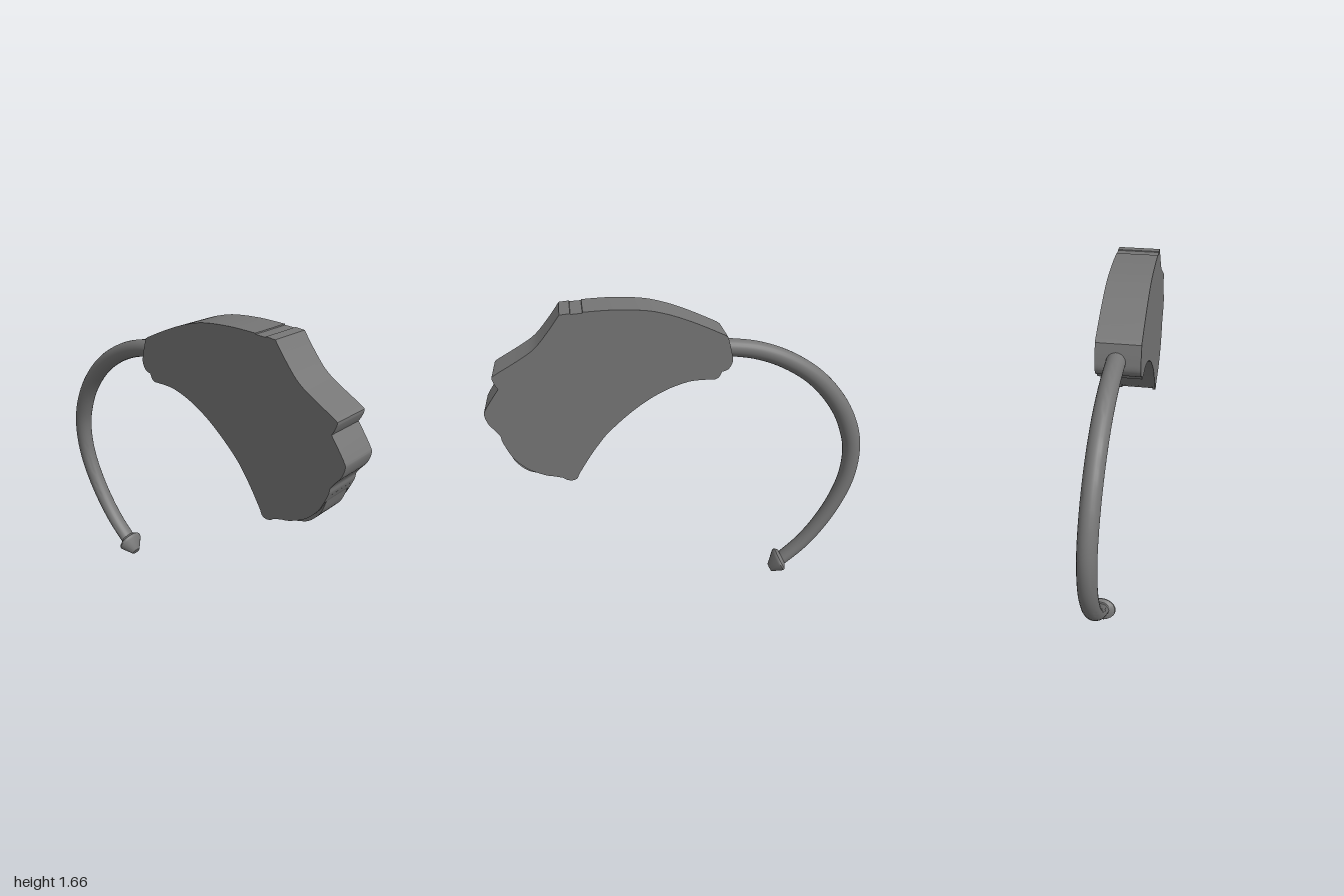
import * as THREE from 'three';
import { toCreasedNormals } from 'three/addons/utils/BufferGeometryUtils.js';

const grey = new THREE.MeshStandardMaterial({ color: 0x757575 });
const v2 = ([x, y]) => new THREE.Vector2(x, y);

// Shape from runs of points: each run is a smooth curve, runs meet at corners
function outline(start, runs) {
  const shape = new THREE.Shape().moveTo(...start);
  for (const run of runs) {
    if (run.length === 1) shape.lineTo(...run[0]);
    else shape.splineThru(run.map(v2));
  }
  return shape;
}

// Slab of a shape between two depths
function slab(name, shape, z0, z1) {
  const geo = new THREE.ExtrudeGeometry(shape, { depth: z1 - z0, bevelEnabled: false, curveSegments: 5 });
  const mesh = new THREE.Mesh(toCreasedNormals(geo.translate(0, 0, z0), 0.6), grey);
  mesh.name = name;
  return mesh;
}

// Elliptical loft: each section has centre c, in-plane half-width u (to the left of travel), depth radius rz
function loft(name, sections, sides, crease) {
  const pos = [], idx = [], last = sections.length - 1;
  for (const { c, u, rz } of sections) {
    for (let j = 0; j < sides; j++) {
      const a = (j / sides) * Math.PI * 2, s = Math.cos(a);
      pos.push(c[0] + u[0] * s, c[1] + u[1] * s, c[2] + rz * Math.sin(a));
    }
  }
  for (let i = 0; i < last; i++) {
    for (let j = 0; j < sides; j++) {
      const a = i * sides + j, b = i * sides + (j + 1) % sides;
      idx.push(a, b, a + sides, b, b + sides, a + sides);
    }
  }
  // End caps
  for (let j = 1; j < sides - 1; j++) {
    const e = last * sides;
    idx.push(0, j + 1, j, e, e + j, e + j + 1);
  }
  const geo = new THREE.BufferGeometry();
  geo.setAttribute('position', new THREE.Float32BufferAttribute(pos, 3));
  geo.setIndex(idx);
  const mesh = new THREE.Mesh(toCreasedNormals(geo, crease), grey);
  mesh.name = name;
  return mesh;
}

export function createModel() {
  const model = new THREE.Group();
  model.name = 'hearingAid';

  // Body outline, clockwise from the nose, with a shallow groove on the crown
  const nose = [-0.21, 1.497];
  const crown = [
    [[-0.195, 1.508]],
    [[-0.1, 1.553], [0, 1.596], [0.1, 1.63], [0.2, 1.651], [0.35, 1.66], [0.49, 1.656]],
    [[0.492, 1.651]], [[0.548, 1.648]], [[0.55, 1.652]], [[0.6, 1.647]],
  ];
  const rear = [
    [[0.66, 1.567], [0.73, 1.488], [0.81, 1.434], [0.925, 1.368], [0.941, 1.35], [0.932, 1.32], [0.918, 1.293]],
    [[0.96, 1.235], [0.99, 1.19], [1.0, 1.163], [0.985, 1.112], [0.955, 1.072], [0.935, 1.042], [0.93, 1.012], [0.91, 0.962]],
  ];
  const belly = [
    [[0.5, 0.892], [0.45, 0.961], [0.4, 1.021], [0.3, 1.111], [0.2, 1.184], [0.1, 1.238], [0, 1.272], [-0.06, 1.28], [-0.15, 1.28]],
    [[-0.168, 1.291], [-0.182, 1.318]],
    [[-0.215, 1.331], [-0.236, 1.371], [-0.228, 1.427], nose],
  ];
  const plateFoot = [
    [[0.88, 0.906], [0.82, 0.846], [0.74, 0.804], [0.69, 0.791]],
    [[0.645, 0.778]],
    [[0.625, 0.764], [0.6, 0.759], [0.575, 0.768], [0.562, 0.794]],
  ];
  const coreFoot = [[[0.86, 0.926]], [[0.72, 0.826]], [[0.6, 0.811]], [[0.562, 0.794]]];
  const plate = outline(nose, [...crown, ...rear, ...plateFoot, ...belly]);
  const core = outline(nose, [...crown, ...rear, ...coreFoot, ...belly]);
  const body = new THREE.Group();
  body.name = 'body';
  body.add(
    slab('frontSidePlate', plate, 0.105, 0.12),
    slab('bodyCore', core, -0.084, 0.105),
    slab('backSidePlate', plate, -0.1, -0.084),
  );

  // Battery door between the side plates, with its hinge
  const door = outline([0.87, 1.0], [
    [[0.924, 0.995]],
    [[0.911, 0.965], [0.903, 0.94], [0.892, 0.908], [0.873, 0.874], [0.83, 0.831], [0.78, 0.809], [0.69, 0.788]],
    [[0.645, 0.786]], [[0.57, 0.786]], [[0.555, 0.82]], [[0.62, 0.88]],
  ]);
  body.add(slab('batteryDoor', door, -0.078, 0.098));
  const hinge = new THREE.Mesh(new THREE.CylinderGeometry(0.028, 0.028, 0.2, 20), grey);
  hinge.name = 'doorHinge';
  hinge.rotation.x = Math.PI / 2;
  hinge.position.set(0.602, 0.793, 0.01);
  body.add(hinge);
  model.add(body);

  // Ear hook tube, narrowing toward the tip
  const path = new THREE.CatmullRomCurve3([
    [-0.17, 1.417, 0.002], [-0.38, 1.388, -0.004], [-0.55, 1.325, -0.01], [-0.72, 1.21, -0.015],
    [-0.86, 1.04, -0.02], [-0.932, 0.87, -0.024], [-0.948, 0.75, -0.026], [-0.931, 0.6, -0.029],
    [-0.873, 0.445, -0.032], [-0.785, 0.295, -0.035], [-0.69, 0.178, -0.037], [-0.575, 0.075, -0.038],
  ].map((p) => new THREE.Vector3(...p)), false, 'centripetal');
  const tube = [];
  for (let i = 0; i <= 64; i++) {
    const t = i / 64, p = path.getPointAt(t), d = path.getTangentAt(t);
    const r = t < 0.5 ? 0.045 + 0.013 * t : 0.0515 - 0.036 * (t - 0.5);
    const k = r / Math.hypot(d.x, d.y);
    tube.push({ c: p.toArray(), u: [-d.y * k, d.x * k], rz: 0.047 });
  }
  model.add(loft('earHook', tube, 24, 1));

  // Conical ear tip
  model.add(loft('earTip', [
    { c: [-0.586, 0.095, -0.038], u: [0.016, 0.032], rz: 0.05 },
    { c: [-0.576, 0.08, -0.038], u: [0.026, 0.052], rz: 0.077 },
    { c: [-0.569, 0.073, -0.038], u: [0.027, 0.054], rz: 0.081 },
    { c: [-0.56, 0.067, -0.038], u: [0.025, 0.05], rz: 0.077 },
    { c: [-0.518, 0.019, -0.038], u: [0.01, 0.019], rz: 0.027 },
  ], 24, 0.6));

  return model;
}
